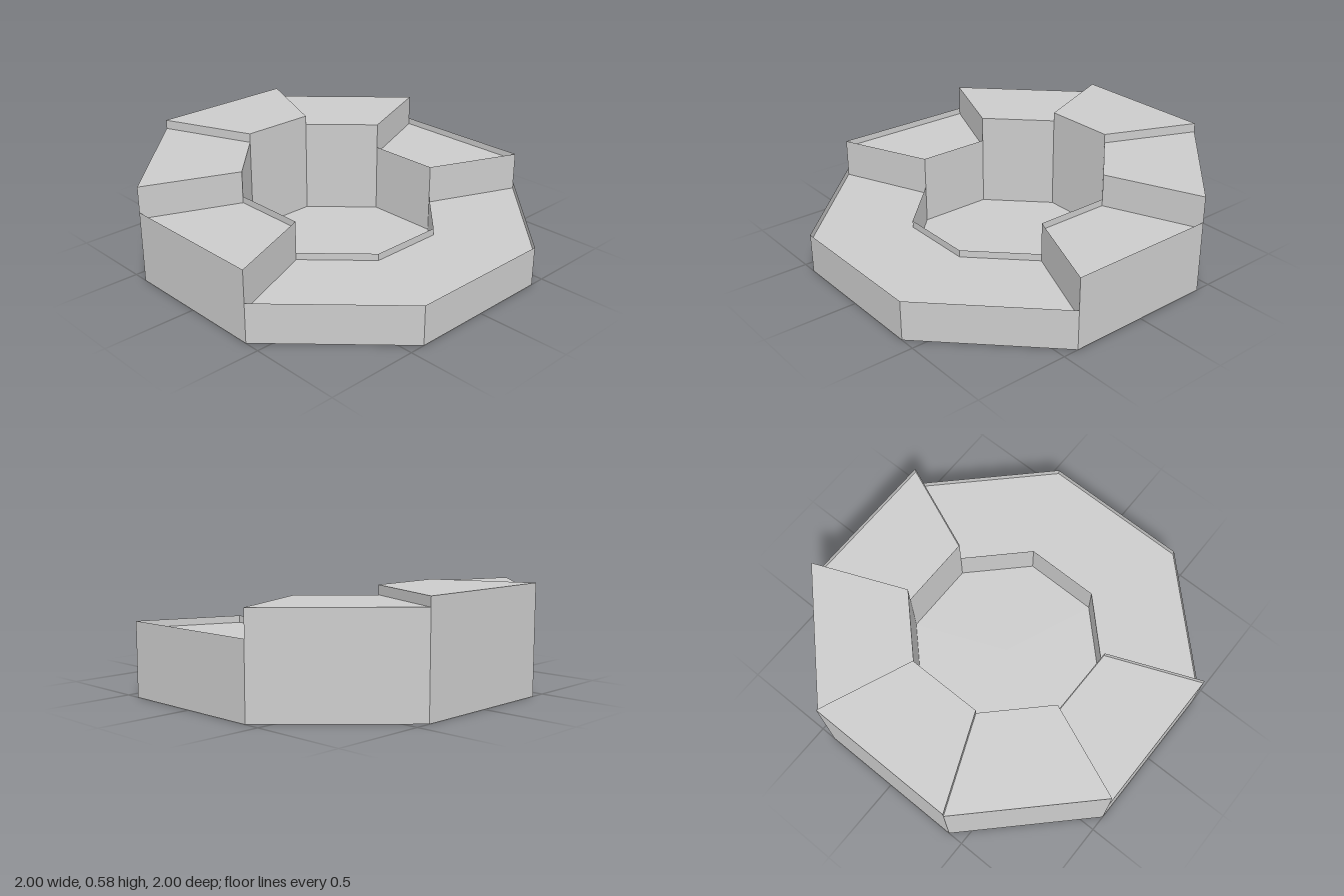
import * as THREE from 'three';

const material = new THREE.MeshStandardMaterial({ color: 0xcccccc, flatShading: true, side: THREE.DoubleSide });
const STEP = Math.PI / 4;
const OUTER = 1, INNER = 0.5; // apothems of the two octagons

// Corner between sector i and sector i + 1 (sector 0 faces the front)
function corner(i, apothem, y) {
  const a = (i + 0.5) * STEP, r = apothem / Math.cos(STEP / 2);
  return [r * Math.sin(a), y, r * Math.cos(a)];
}

// Flat quads, each given as four counter-clockwise corners
function quads(name, list) {
  const pos = list.flatMap(([a, b, c, d]) => [a, b, c, a, c, d]).flat();
  const geometry = new THREE.BufferGeometry();
  geometry.setAttribute('position', new THREE.Float32BufferAttribute(pos, 3));
  geometry.computeVertexNormals();
  const mesh = new THREE.Mesh(geometry, material);
  mesh.name = name;
  return mesh;
}

// Upright wall along one octagon side
const sideWall = (i, ap, y0, y1) =>
  [corner(i - 1, ap, y0), corner(i, ap, y0), corner(i, ap, y1), corner(i - 1, ap, y1)];
// Upright wall from the inner to the outer octagon
const radialWall = (i, y0, y1) =>
  [corner(i, INNER, y0), corner(i, OUTER, y0), corner(i, OUTER, y1), corner(i, INNER, y1)];
// Level trapezoid of one sector
const deck = (i, y) =>
  [corner(i - 1, INNER, y), corner(i - 1, OUTER, y), corner(i, OUTER, y), corner(i, INNER, y)];

export function createModel() {
  const group = new THREE.Group();
  group.name = 'steppedOctagon';

  // Deck height and rim height, from the front sector round to the back one
  const levels = [
    { name: 'frontTray', deck: 0.177, rim: 0.215 },
    { name: 'frontTray', deck: 0.177, rim: 0.215 },
    { name: 'sideTray', deck: 0.354, rim: 0.39 },
    { name: 'rearPlatform', deck: 0.53, rim: 0.53 },
    { name: 'backPlatform', deck: 0.58, rim: 0.58 },
  ];
  const level = (i) => levels[Math.min(i, 8 - i)];

  const base = [];
  for (let i = 0; i < 8; i++) {
    const here = level(i), next = level((i + 1) % 8);
    const sector = new THREE.Group();
    sector.name = here.name;
    sector.add(
      quads('outerWall', [sideWall(i, OUTER, 0, here.rim)]),
      quads('innerWall', [sideWall(i, INNER, 0, here.rim).reverse()]),
      quads('deck', [deck(i, here.deck)]),
    );
    // Riser where the height changes
    if (here.rim !== next.rim) {
      const y0 = Math.min(here.deck, next.deck), y1 = Math.max(here.rim, next.rim);
      const riser = radialWall(i, y0, y1);
      sector.add(quads('riser', [here.rim > next.rim ? riser : riser.reverse()]));
    }
    group.add(sector);
    base.push(deck(i, 0).reverse());
  }
  group.add(quads('underside', base));

  // Floor of the central well
  const floor = new THREE.Mesh(new THREE.CircleGeometry(INNER / Math.cos(STEP / 2), 8, STEP / 2), material);
  floor.name = 'wellFloor';
  floor.rotation.x = -Math.PI / 2;
  floor.position.y = 0.005;
  group.add(floor);

  return group;
}
